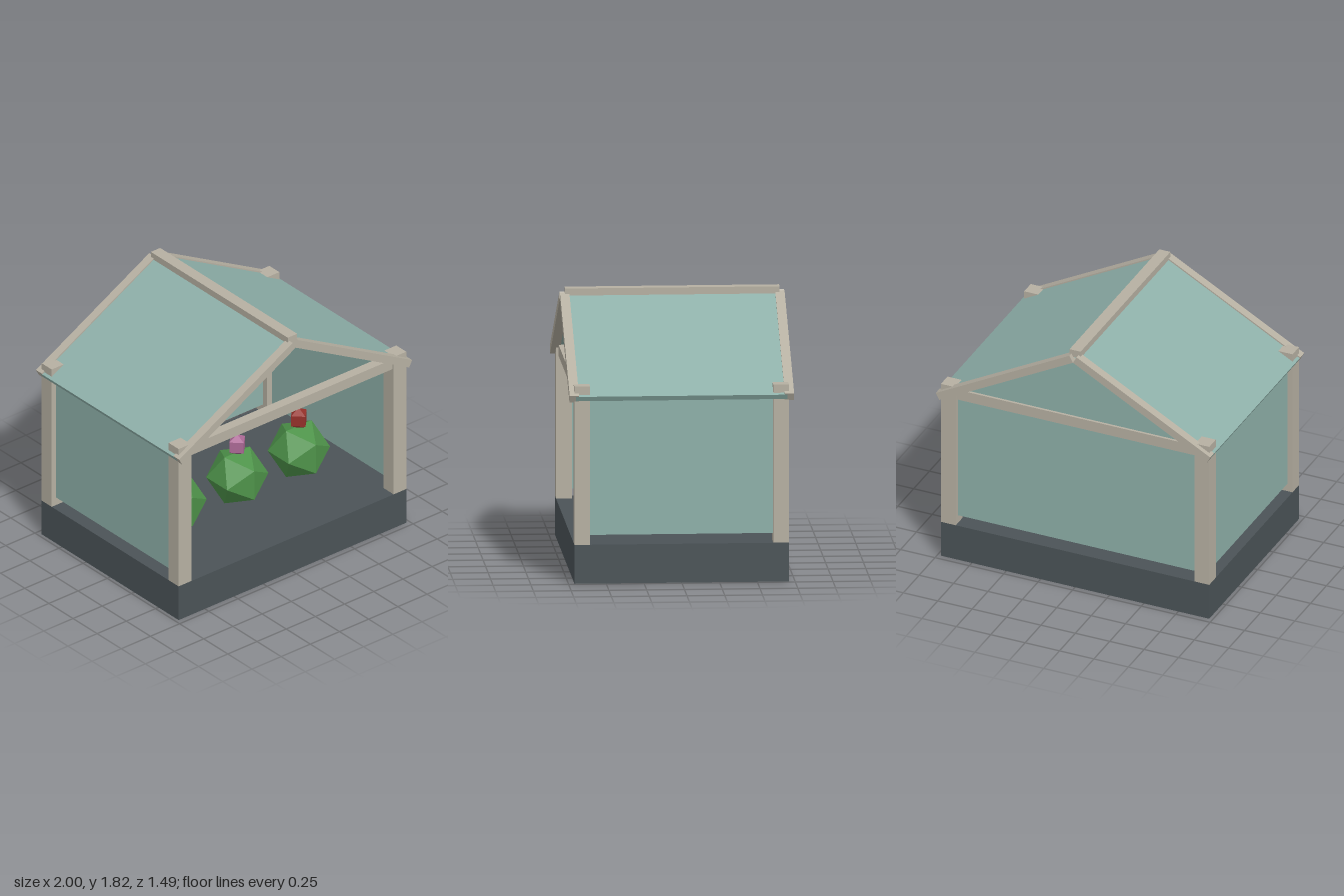
import * as THREE from 'three';

const material = (name, color) => {
  const m = new THREE.MeshStandardMaterial({ color });
  m.name = name;
  return m;
};

export function createModel() {
  const group = new THREE.Group();
  const slate = material('slate', 0x4b5357);
  const timber = material('timber', 0xb6b0a2);
  const glass = material('glass', 0x8eb0a9);
  const leaf = material('leaf green', 0x4e934a);
  const red = material('red petals', 0x96302a);
  const pink = material('pink petals', 0xad6a97);

  const add = (name, geometry, mat, x, y, z, roll = 0) => {
    const mesh = new THREE.Mesh(geometry, mat);
    mesh.name = name;
    mesh.position.set(x, y, z);
    mesh.rotation.z = roll;
    group.add(mesh);
    return mesh;
  };
  const box = (name, mat, [w, h, d], [x, y, z], roll) =>
    add(name, new THREE.BoxGeometry(w, h, d), mat, x, y, z, roll);

  // Base slab and ridge beam
  box('base', slate, [1.95, 0.26, 1.42], [0, 0.13, 0]);
  box('ridgeBeam', timber, [0.08, 0.052, 1.42], [0, 1.793, 0]);

  const pitch = Math.atan(0.543);
  const slopeLength = 1.106;
  for (const sx of [-1, 1]) {
    // Roof slope with a rafter at each gable end
    box('roofPane', glass, [slopeLength, 0.036, 1.4], [sx * 0.499, 1.502, 0], -sx * pitch);
    for (const sz of [-1, 1]) {
      box('rafter', timber, [slopeLength, 0.054, 0.062], [sx * 0.499, 1.502, sz * 0.712], -sx * pitch);
      box('cornerPost', timber, [0.108, 1.06, 0.104], [sx * 0.921, 0.79, sz * 0.658]);
    }
    // Side wall pane, raised a little off the base
    box('sidePane', glass, [0.03, 0.92, 1.22], [sx * 0.925, 0.78, 0]);
  }

  // Tie beams at front and back
  for (const sz of [-1, 1]) {
    box('tieBeam', timber, [1.76, 0.075, 0.07], [0, 1.257, sz * 0.66]);
  }

  // Back wall pane and gable pane; the front stays open
  box('backPane', glass, [1.75, 0.92, 0.03], [0, 0.78, -0.662]);
  const gable = new THREE.Shape([
    new THREE.Vector2(-0.87, 1.25),
    new THREE.Vector2(0.87, 1.25),
    new THREE.Vector2(0, 1.745),
  ]);
  add('gablePane', new THREE.ExtrudeGeometry(gable, { depth: 0.03, bevelEnabled: false }),
    glass, 0, 0, -0.677);

  // Faceted shrubs, each topped with a bloom
  const bloom = new THREE.SphereGeometry(0.078, 4, 3).toNonIndexed();
  bloom.computeVertexNormals();
  [-0.528, 0, 0.528].forEach((x, i) => {
    add('shrub', new THREE.IcosahedronGeometry(0.208, 0), leaf, x, 0.477, 0.137);
    add('bloom', bloom, i === 1 ? pink : red, x, 0.714, 0.137);
  });

  return group;
}
